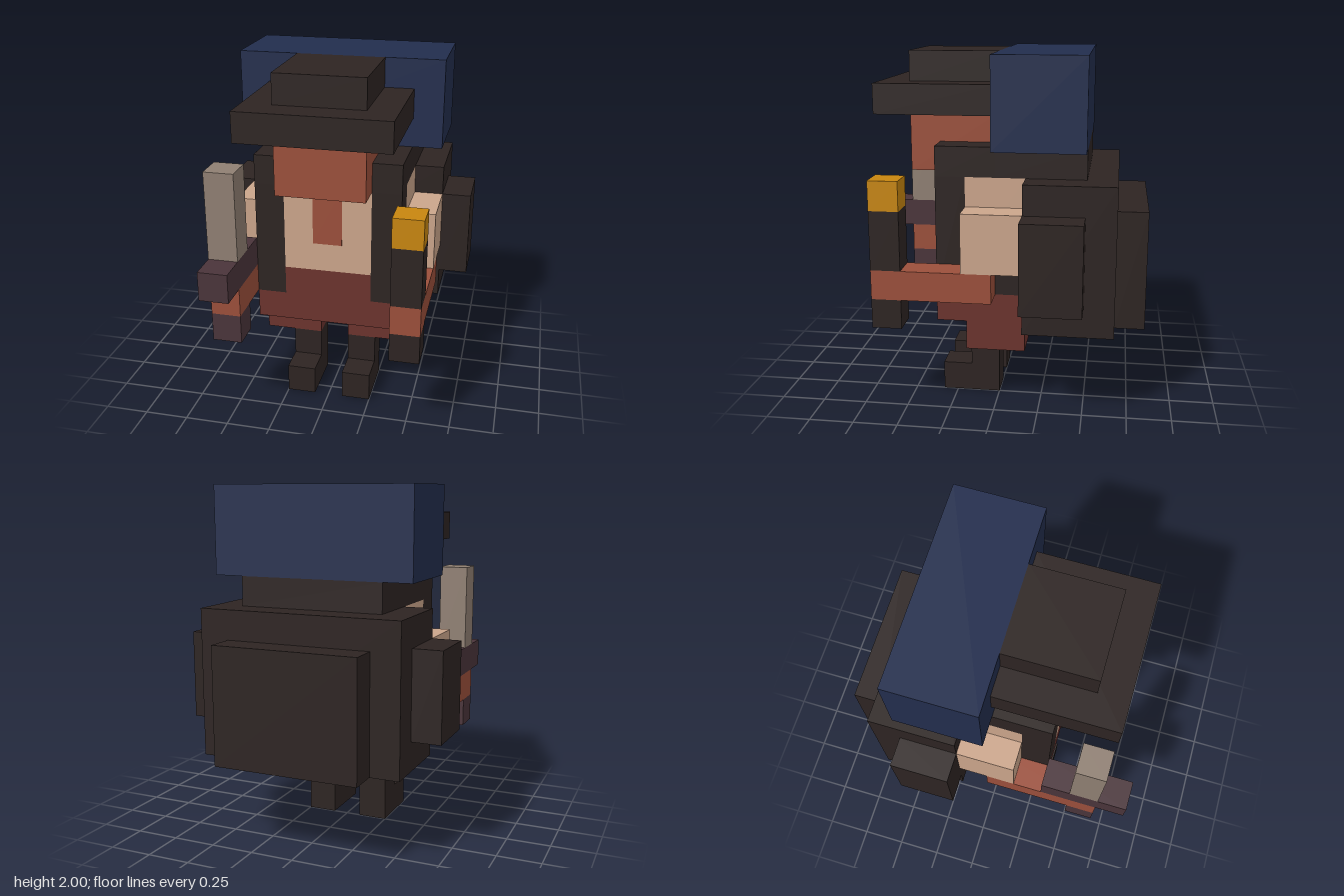
import * as THREE from 'three';

const U = 1 / 6; // size of one block

const material = (name, color) => {
  const m = new THREE.MeshStandardMaterial({ color });
  m.name = name;
  return m;
};

export function createModel() {
  const model = new THREE.Group();
  model.name = 'traveller';

  const dark = material('dark leather', 0x2d2422);
  const navy = material('navy cloth', 0x222d4d);
  const skin = material('skin', 0x9b4f3b);
  const cream = material('cream shirt', 0xcba58b);
  const maroon = material('maroon trousers', 0x6b332d);
  const steel = material('dull blade', 0x8f7f72);
  const gold = material('gold flame', 0xc8860f);
  const plum = material('plum hilt', 0x4a343a);

  // Box spanning the given block ranges
  const box = (name, mat, [x0, x1], [y0, y1], [z0, z1]) => {
    const geo = new THREE.BoxGeometry((x1 - x0) * U, (y1 - y0) * U, (z1 - z0) * U);
    const mesh = new THREE.Mesh(geo, mat);
    mesh.name = name;
    mesh.position.set((x0 + x1) * U / 2, (y0 + y1) * U / 2, (z0 + z1) * U / 2);
    model.add(mesh);
  };
  // The same box on both sides
  const pair = (name, mat, [x0, x1], y, z) => {
    box(name + 'Left', mat, [x0, x1], y, z);
    box(name + 'Right', mat, [-x1, -x0], y, z);
  };

  // Head and hat
  box('head', skin, [-1.5, 1.5], [8, 10], [0, 3]);
  box('hatBrim', dark, [-2.5, 2.5], [10, 11], [0, 4]);
  box('hatCrown', dark, [-1.5, 1.5], [11, 12], [0, 3]);

  // Torso, open collar and trousers
  box('shirt', cream, [-1.5, 1.5], [5, 8], [-1, 2]);
  pair('shirtSide', cream, [1.5, 2.5], [5, 8], [-1, 1]);
  box('openCollar', skin, [-0.5, 0.5], [6, 8], [2, 2.03]);
  box('waist', maroon, [-1.5, 1.5], [4, 5], [-1, 2]);
  box('hips', maroon, [-2.5, 2.5], [3, 4], [-1, 2]);
  pair('trouserLeg', maroon, [0.5, 2.5], [2, 3], [-1, 1]);

  // Legs and boots
  pair('shin', dark, [0.5, 1.5], [0, 2], [0, 1]);
  pair('bootToe', dark, [0.5, 1.5], [0, 1], [1, 2]);

  // Shoulder straps wrapping from the pack to the waist
  box('yoke', dark, [-2.5, 2.5], [8, 9], [-3, 0]);
  pair('strapTop', dark, [1.5, 2.5], [8, 9], [0, 2]);
  pair('strapFront', dark, [1.5, 2.5], [4, 8], [1, 2]);
  pair('strapBottom', dark, [1.5, 2.5], [4, 5], [-1, 1]);

  // Backpack with pockets and bedroll
  box('pack', dark, [-3.5, 3.5], [3, 8], [-4, -1]);
  box('backPocket', dark, [-2.5, 2.5], [3, 7], [-5, -4]);
  pair('sidePocket', dark, [3.5, 4.5], [4, 7], [-3, -1]);
  box('bedroll', navy, [-3.5, 3.5], [9, 12], [-3, 0]);

  // Arms
  pair('sleeve', cream, [2.5, 3.5], [5, 7], [-1, 1]);
  pair('forearm', skin, [2.5, 3.5], [4, 5], [0, 4]);

  // Torch in the left hand
  const left = [2.5, 3.5];
  box('torchEnd', dark, left, [3, 4], [3, 4]);
  box('torchShaft', dark, left, [5, 7], [3, 4]);
  box('torchFlame', gold, left, [7, 8], [3, 4]);

  // Dagger in the right hand
  const right = [-3.5, -2.5];
  box('daggerPommel', plum, right, [3, 4], [3, 4]);
  box('daggerGuard', plum, right, [5, 6], [2, 5]);
  box('daggerBlade', steel, right, [6, 9], [3, 4]);

  return model;
}
